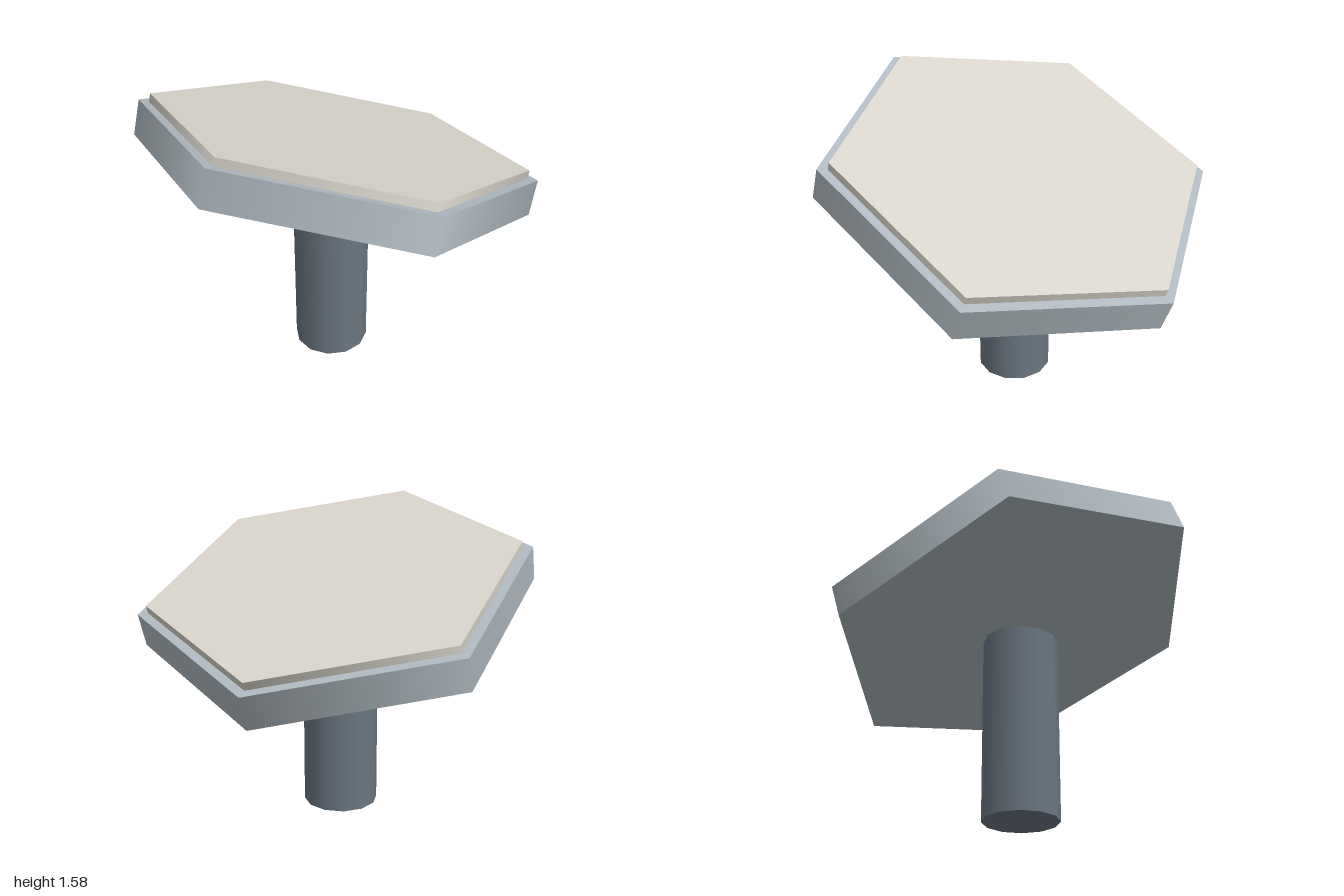
import * as THREE from 'three';

export function createModel() {
  const model = new THREE.Group();
  const material = (name, color) => {
    const m = new THREE.MeshStandardMaterial({ color });
    m.name = name;
    return m;
  };
  const slate = material('slate grey', 0x6b7782);
  const steel = material('pale steel', 0xb0bac0);
  const cream = material('warm cream', 0xd9d5cc);

  // Upright prism with smooth sides, resting on baseY
  const prism = (name, radius, height, sides, baseY, mat, parent) => {
    const mesh = new THREE.Mesh(new THREE.CylinderGeometry(radius, radius, height, sides), mat);
    mesh.name = name;
    mesh.position.y = baseY + height / 2;
    parent.add(mesh);
    return mesh;
  };

  // Supporting column, slightly forward of centre
  prism('column', 0.197, 0.985, 12, 0, slate, model).position.z = 0.034;

  // Hexagonal head, front edge raised
  const head = new THREE.Group();
  head.name = 'tiltedHead';
  head.position.y = 1.137;
  head.rotation.x = -0.33;
  model.add(head);

  prism('hexagonSlab', 1.025, 0.185, 6, -0.0925, steel, head);
  prism('topPanel', 0.972, 0.052, 6, 0.083, cream, head);

  return model;
}
